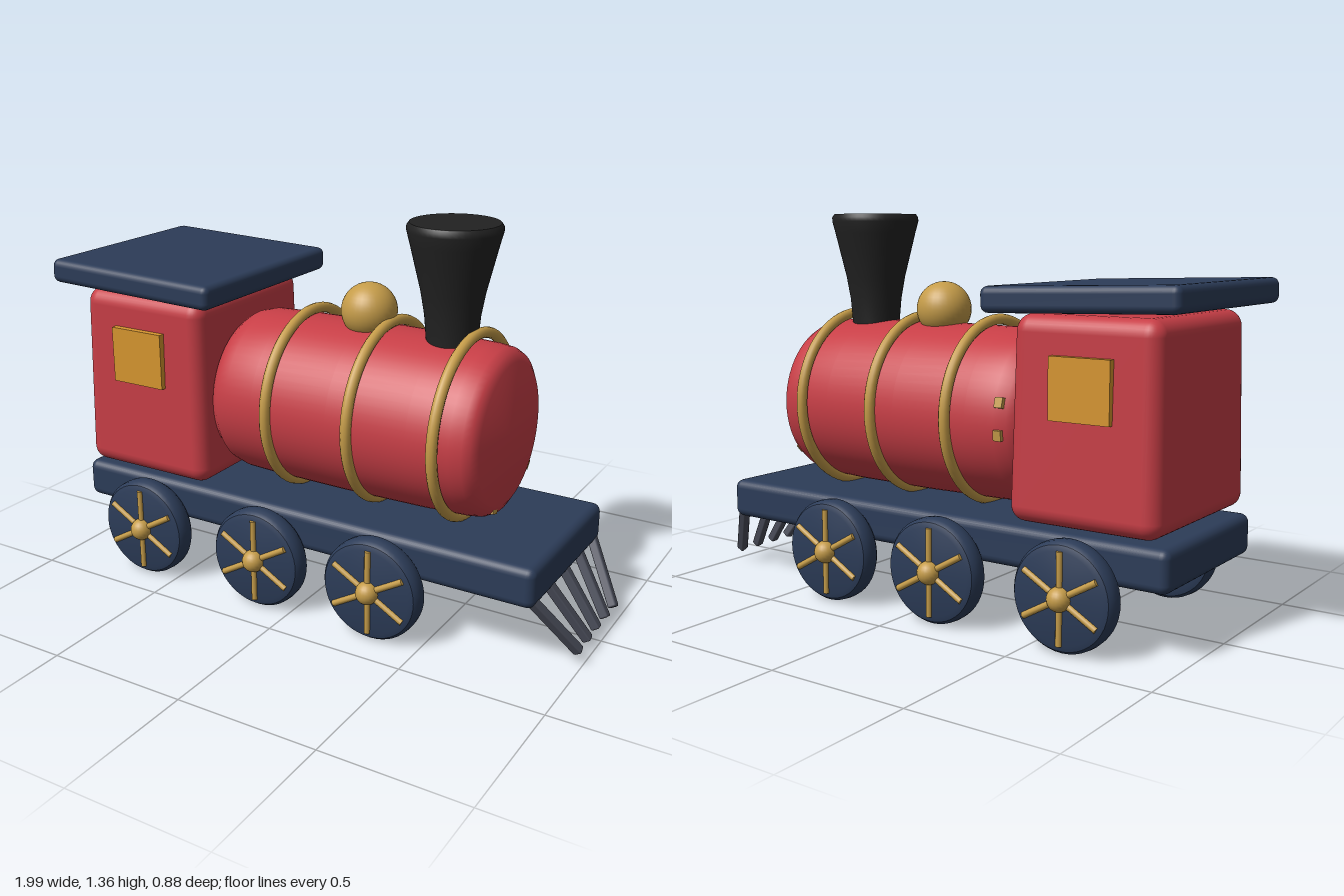
import * as THREE from 'three';
import { toCreasedNormals } from 'three/addons/utils/BufferGeometryUtils.js';
import { RoundedBoxGeometry } from 'three/addons/geometries/RoundedBoxGeometry.js';

const material = (name, color) => {
  const m = new THREE.MeshStandardMaterial({ color });
  m.name = name;
  return m;
};

// Turned solid around y; soft bends stay smooth, hard edges stay sharp
const turned = (points, segments = 48) => toCreasedNormals(
  new THREE.LatheGeometry(points.map(([r, y]) => new THREE.Vector2(r, y)), segments), 0.6);

export function createModel() {
  const red = material('red paint', 0xc73e46);
  const navy = material('navy paint', 0x2c3c58);
  const brass = material('brass', 0xc59c49);
  const amber = material('amber glass', 0xd6952f);
  const black = material('black iron', 0x222222);
  const steel = material('grey steel', 0x4b4e5b);

  const model = new THREE.Group();
  const add = (name, geometry, mat, x = 0, y = 0, z = 0, parent = model) => {
    const mesh = new THREE.Mesh(geometry, mat);
    mesh.name = name;
    mesh.position.set(x, y, z);
    parent.add(mesh);
    return mesh;
  };

  // Chassis
  add('chassis', new RoundedBoxGeometry(1.82, 0.14, 0.625, 3, 0.03), navy, -0.04, 0.29, 0);

  // Cab, slightly narrower at the top
  const cab = new RoundedBoxGeometry(0.54, 0.665, 0.665, 4, 0.055);
  const p = cab.attributes.position;
  for (let i = 0; i < p.count; i++) {
    const k = 0.975 - 0.07 * p.getY(i);
    p.setX(i, p.getX(i) * k);
    p.setZ(i, p.getZ(i) * k);
  }
  add('cab', cab, red, -0.652, 0.71, 0);

  // Roof, sloping gently towards the boiler
  add('roof', new RoundedBoxGeometry(0.69, 0.085, 0.76, 3, 0.025), navy, -0.655, 1.095, 0)
    .rotation.z = -0.03;

  // Boiler along x
  const boiler = turned([
    [0, -0.40], [0.23, -0.40], [0.262, -0.385], [0.285, -0.355], [0.296, -0.31], [0.3, -0.2],
    [0.303, 0.1], [0.3, 0.4], [0.294, 0.55], [0.288, 0.595], [0.275, 0.62], [0.245, 0.638], [0, 0.638],
  ], 64).rotateZ(-Math.PI / 2);
  add('boiler', boiler, red, 0, 0.672, 0);

  // Brass bands around the boiler
  const band = new THREE.TorusGeometry(0.314, 0.019, 12, 64).rotateY(Math.PI / 2);
  for (const x of [-0.13, 0.19, 0.505]) add('boilerBand', band, brass, x, 0.68, 0);

  // Small brass rivets on the boiler shoulders
  const rivet = new THREE.BoxGeometry(0.03, 0.02, 0.035);
  for (const [x, y, z] of [[0.615, 0.495, -0.195], [0.615, 0.42, 0.075],
    [-0.33, 0.75, -0.282], [-0.33, 0.645, -0.29]]) {
    add('rivet', rivet, brass, x, y, z).rotation.x = Math.atan2(z, y - 0.672);
  }

  // Steam dome
  add('steamDome', new THREE.SphereGeometry(0.098, 32, 20), brass, 0.1, 1.022, 0);

  // Flared chimney
  add('chimney', turned([
    [0, 0.9], [0.085, 0.9], [0.087, 0.97], [0.094, 1.05], [0.108, 1.13], [0.13, 1.22],
    [0.147, 1.29], [0.158, 1.332], [0.158, 1.346], [0.15, 1.358], [0, 1.358],
  ]), black, 0.415, 0, 0);

  // Wheels with brass spokes and hubs
  const tyre = turned([
    [0, -0.042], [0.15, -0.042], [0.168, -0.036], [0.178, -0.022], [0.18, 0],
    [0.178, 0.022], [0.168, 0.036], [0.15, 0.042], [0, 0.042],
  ]).rotateX(Math.PI / 2);
  const spoke = new THREE.CylinderGeometry(0.011, 0.011, 0.3, 10);
  const hub = new THREE.SphereGeometry(0.04, 20, 14);

  for (const side of [1, -1]) {
    // Cab window
    add('cabWindow', new THREE.BoxGeometry(0.215, 0.2, 0.06), amber, -0.655, 0.82, side * 0.313);

    for (const x of [-0.63, -0.13, 0.325]) {
      const wheel = new THREE.Group();
      wheel.name = 'wheel';
      wheel.position.set(x, 0.182, side * 0.356);
      model.add(wheel);
      add('tyre', tyre, navy, 0, 0, 0, wheel);
      add('hub', hub, brass, 0, 0, side * 0.044, wheel);
      for (let i = 0; i < 3; i++) {
        add('spoke', spoke, brass, 0, 0, side * 0.042, wheel).rotation.z = i * Math.PI / 3;
      }
    }
  }

  // Cowcatcher bars converging forwards and down
  const up = new THREE.Vector3(0, 1, 0);
  for (let i = -2; i <= 2; i++) {
    const top = new THREE.Vector3(0.845, 0.25, i * 0.14);
    const tip = new THREE.Vector3(0.982, 0.045, i * 0.084);
    const dir = top.clone().sub(tip);
    const bar = add('cowcatcherBar', new RoundedBoxGeometry(0.032, dir.length(), 0.032, 1, 0.006), steel);
    bar.position.copy(top).add(tip).multiplyScalar(0.5);
    bar.quaternion.setFromUnitVectors(up, dir.normalize());
  }

  return model;
}
